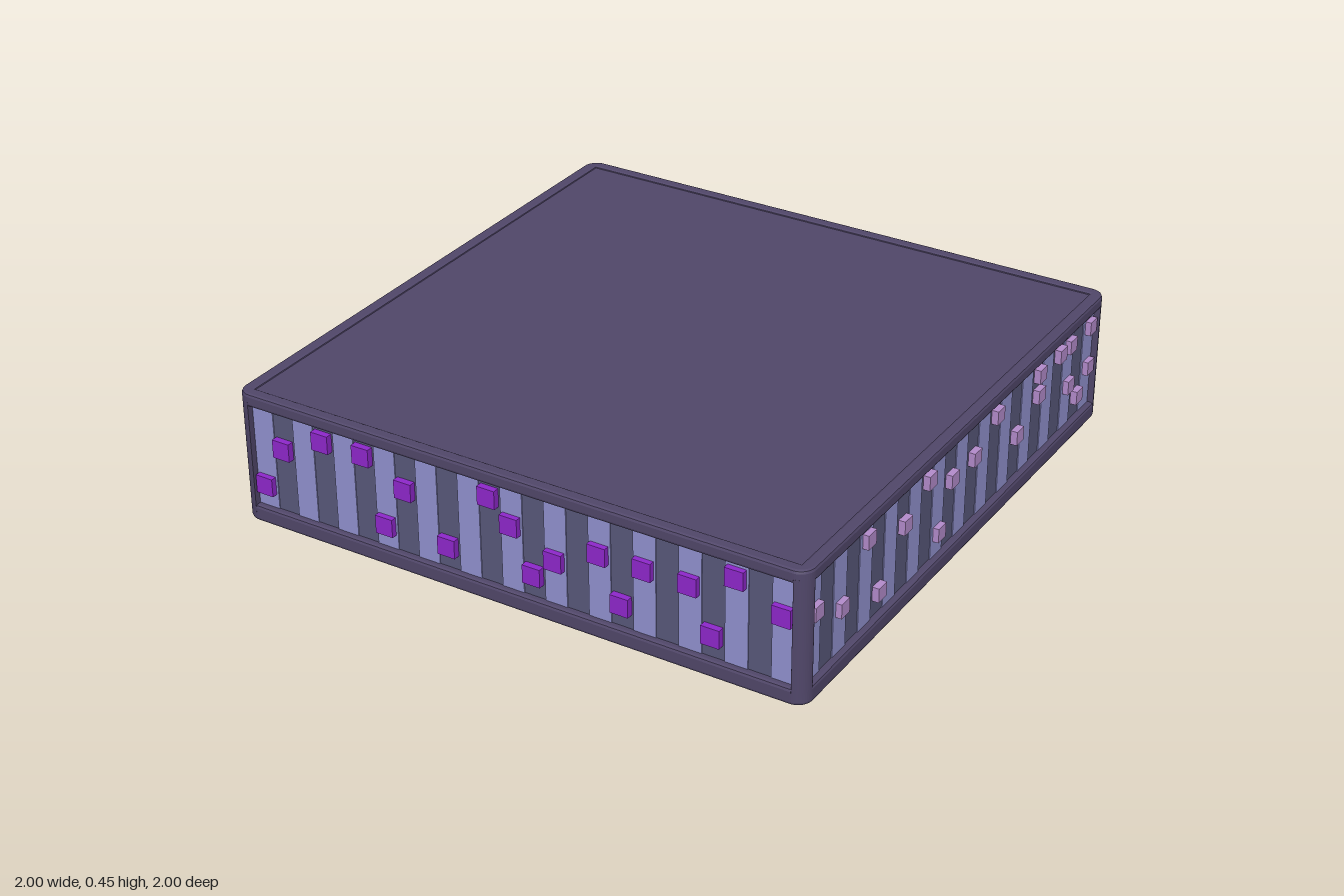
import * as THREE from 'three';

const H = 0.45;        // total height
const INNER = 0.955;   // half width of the opening in the frame
const COUNT = 25;      // stripes per side
const STEP = (2 * INNER) / COUNT;

const mat = (color) => new THREE.MeshStandardMaterial({ color });
const frameMat = mat(0x51476a);
const darkMat = mat(0x58587a);
const lightMat = mat(0x9292d0);
const purpleMat = mat(0x8f28cc);
const lilacMat = mat(0xb48ccc);

function box(name, w, h, d, material, x, y, z) {
  const m = new THREE.Mesh(new THREE.BoxGeometry(w, h, d), material);
  m.position.set(x, y, z);
  m.name = name;
  return m;
}

// Rounded square outline with a square opening
function ringShape() {
  const s = new THREE.Shape();
  const r = 0.05, c = 1 - r, q = Math.PI / 2;
  s.absarc(c, c, r, 0, q);
  s.absarc(-c, c, r, q, 2 * q);
  s.absarc(-c, -c, r, 2 * q, 3 * q);
  s.absarc(c, -c, r, 3 * q, 4 * q);
  s.closePath();
  const hole = new THREE.Path();
  hole.moveTo(-INNER, -INNER);
  hole.lineTo(-INNER, INNER);
  hole.lineTo(INNER, INNER);
  hole.lineTo(INNER, -INNER);
  hole.closePath();
  s.holes.push(hole);
  return s;
}

// Horizontal frame ring with softened edges, from y0 to y1
function ring(name, y0, y1) {
  const b = 0.01;
  const g = new THREE.ExtrudeGeometry(ringShape(), {
    depth: y1 - y0 - 2 * b, bevelEnabled: true, bevelThickness: b,
    bevelSize: b, bevelOffset: -b, bevelSegments: 2, curveSegments: 6,
  });
  g.rotateX(-Math.PI / 2);
  g.translate(0, y0 + b, 0);
  const m = new THREE.Mesh(g, frameMat);
  m.name = name;
  return m;
}

// Corner post, rounded on its outer edge
function cornerPost() {
  const s = new THREE.Shape();
  s.moveTo(INNER, INNER);
  s.lineTo(1, INNER);
  s.absarc(0.95, 0.95, 0.05, 0.1, Math.PI / 2 - 0.1);
  s.lineTo(INNER, 1);
  s.closePath();
  const g = new THREE.ExtrudeGeometry(s, { depth: H - 0.06, bevelEnabled: false, curveSegments: 6 });
  g.rotateX(-Math.PI / 2);
  g.translate(0, 0.03, 0);
  const m = new THREE.Mesh(g, frameMat);
  m.name = 'cornerPost';
  return m;
}

// One striped side. Buttons sit on four evenly spaced rows, lowest first;
// each row lists its stripes counted from the viewer's left.
function sidePanel(name, turn, size, material, rows) {
  const g = new THREE.Group();
  g.name = name;
  const at = (i) => -INNER + STEP * (i + 0.5);
  for (let i = 0; i < COUNT; i += 2) {
    g.add(box('lightStripe', STEP, 0.36, 0.02, lightMat, at(i), H / 2 + 0.005, 0.968));
  }
  rows.forEach((stripes, row) => {
    const y = 0.135 + row * 0.0735;
    for (const i of stripes) g.add(box('button', size, size, 0.035, material, at(i), y, 0.98));
  });
  g.rotation.y = turn * Math.PI / 2;
  return g;
}

export function createModel() {
  const model = new THREE.Group();
  model.name = 'stripedSlab';

  // Dark core behind the stripes, with the plate closing top and bottom
  model.add(box('core', 1.95, H - 0.06, 1.95, darkMat, 0, H / 2, 0));
  model.add(box('plate', 1.93, H - 0.012, 1.93, frameMat, 0, H / 2, 0));

  // Frame
  model.add(ring('bottomFrame', 0, 0.055), ring('topFrame', 0.405, H));
  for (let k = 0; k < 4; k++) {
    const post = cornerPost();
    post.rotation.y = k * Math.PI / 2;
    model.add(post);
  }

  // Striped sides
  model.add(sidePanel('frontPanel', 0, 0.062, purpleMat,
    [[0, 6, 9, 13, 17, 21], [14], [1, 7, 12, 16, 18, 20, 24], [3, 5, 11, 22]]));
  model.add(sidePanel('leftPanel', 1, 0.048, lilacMat,
    [[5, 10, 23], [2, 17, 22, 24], [0, 7, 11, 13, 19], [4, 9, 15, 19, 21, 22, 24]]));
  model.add(sidePanel('backPanel', 2, 0.048, lilacMat,
    [[2, 14 + 3, 23], [4, 6, 11, 14, 21, 24], [6, 8, 12, 15], [0, 3, 13, 19, 23]]));
  model.add(sidePanel('rightPanel', 3, 0.048, lilacMat,
    [[4, 6, 8, 14], [1, 5, 12, 19, 24], [0, 2, 9, 11, 13, 16, 22], [3, 11, 21]]));
  return model;
}
